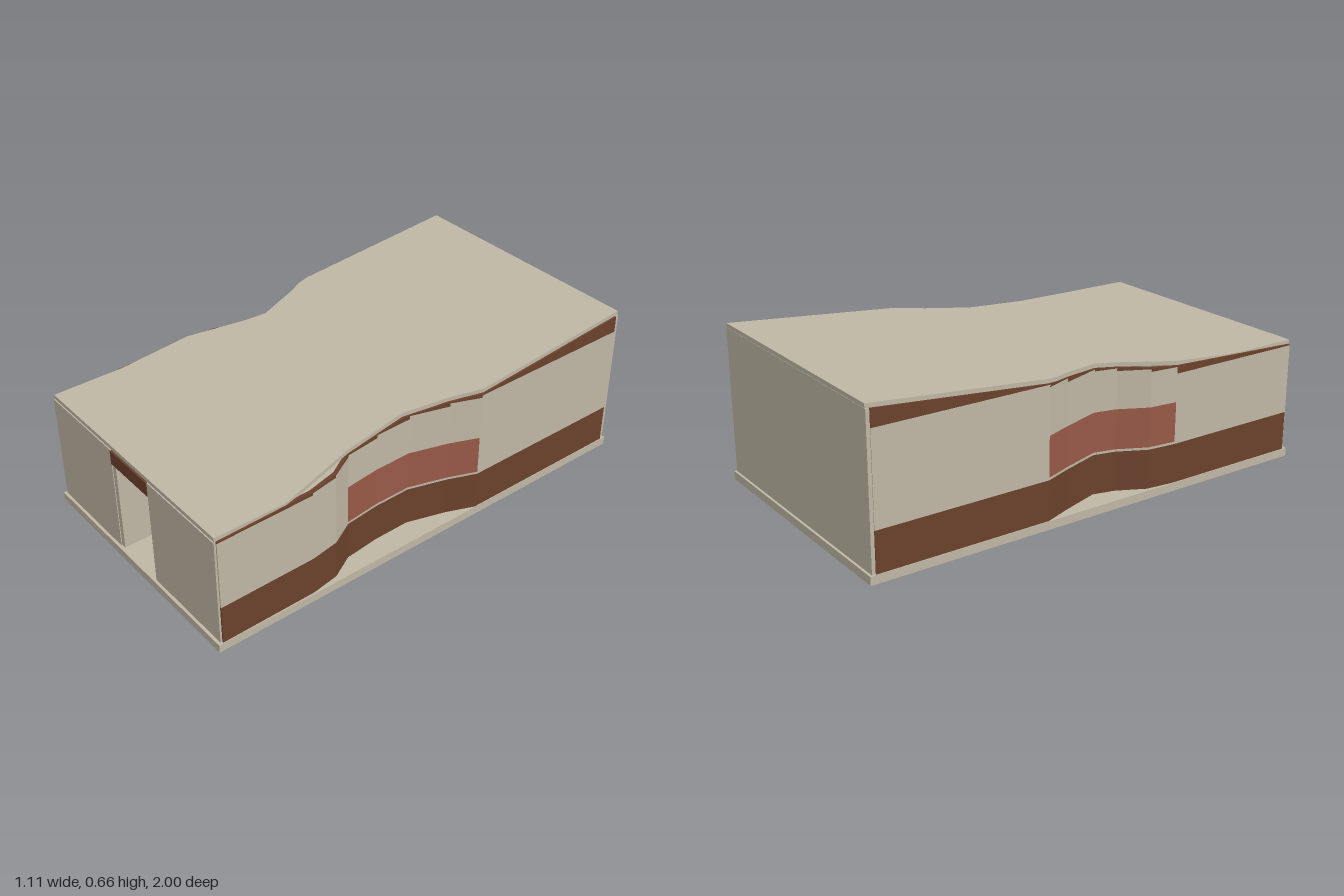
import * as THREE from 'three';

const cream = new THREE.MeshStandardMaterial({ color: 0xbfb7a4 });
cream.name = 'cream';
const brown = new THREE.MeshStandardMaterial({ color: 0x6b412c });
brown.name = 'brown';
const red = new THREE.MeshStandardMaterial({ color: 0x985948 });
red.name = 'brick red';

const FLOOR = 0.035, WALL = 0.016;

// Roof heights: level at the front, then rising to the back
const roofTop = z => 0.514 + Math.max(0, 0.68 - z) * 0.088;
const roofUnder = z => roofTop(z) - 0.017;

// Solid through rectangular sections [z, x0, x1, y0, y1], ordered by rising z
function loft(sections) {
  const pos = [];
  const quad = (a, b, c, d) => pos.push(...a, ...b, ...c, ...a, ...c, ...d);
  const rings = sections.map(([z, x0, x1, y0, y1]) =>
    [[x0, y0, z], [x1, y0, z], [x1, y1, z], [x0, y1, z]]);
  for (let k = 0; k + 1 < rings.length; k++) {
    for (let i = 0; i < 4; i++) {
      const j = (i + 1) % 4;
      quad(rings[k][i], rings[k][j], rings[k + 1][j], rings[k + 1][i]);
    }
  }
  const first = rings[0], last = rings[rings.length - 1];
  quad(first[3], first[2], first[1], first[0]);
  quad(...last);
  const geo = new THREE.BufferGeometry();
  geo.setAttribute('position', new THREE.Float32BufferAttribute(pos, 3));
  geo.computeVertexNormals();
  return geo;
}

function add(parent, name, geo, material) {
  const mesh = new THREE.Mesh(geo, material);
  mesh.name = name;
  parent.add(mesh);
  return mesh;
}

function box(parent, name, material, x0, x1, y0, y1, z0, z1) {
  const mesh = add(parent, name, new THREE.BoxGeometry(x1 - x0, y1 - y0, z1 - z0), material);
  mesh.position.set((x0 + x1) / 2, (y0 + y1) / 2, (z0 + z1) / 2);
}

// Linear lookup of x along a list of [z, x]
function along(path, z) {
  for (let i = 0; i + 1 < path.length; i++) {
    const [za, xa] = path[i], [zb, xb] = path[i + 1];
    if (z <= zb) return xa + (xb - xa) * (z - za) / (zb - za);
  }
  return path[path.length - 1][1];
}

// A pinched side wall in facets, each banded brown, cream, red, cream, brown
function sideWall(name, side, path, redFrom, redTo) {
  const wall = new THREE.Group();
  wall.name = name;
  for (let i = 0; i + 1 < path.length; i++) {
    const ends = [path[i], path[i + 1]];
    const creamTop = roofUnder(path[i + 1][0]) - 0.005;
    const band = (label, material, low, high) => add(wall, label, loft(ends.map(([z, x]) => {
      const outer = side * x, inner = side * (x - WALL);
      return [z, Math.min(outer, inner), Math.max(outer, inner), low, high(z)];
    })), material);
    band('lowerBand', brown, FLOOR, () => 0.2);
    if (path[i][0] >= redFrom && path[i + 1][0] <= redTo) {
      band('sill', cream, 0.2, () => 0.21);
      band('redPanel', red, 0.21, () => 0.375);
      band('upperPanel', cream, 0.375, () => creamTop);
    } else {
      band('panel', cream, 0.2, () => creamTop);
    }
    band('upperBand', brown, creamTop, roofUnder);
  }
  return wall;
}

export function createModel() {
  const model = new THREE.Group();
  model.name = 'pavilion';

  // Base slab
  box(model, 'baseSlab', cream, -0.556, 0.556, 0, FLOOR, -1, 1);

  // Side walls, listed as [z, distance from the centre line]
  model.add(sideWall('leftWall', 1, [
    [-0.975, 0.553], [-0.24, 0.553], [-0.12, 0.505], [0.04, 0.457], [0.2, 0.459],
    [0.35, 0.475], [0.45, 0.53], [0.57, 0.549], [0.98, 0.553]], -0.24, 0.35));
  model.add(sideWall('rightWall', -1, [
    [-0.975, 0.553], [-0.24, 0.553], [-0.13, 0.513], [0.04, 0.459],
    [0.13, 0.48], [0.25, 0.54], [0.37, 0.553], [0.98, 0.553]], -0.24, 0.37));

  // Back wall
  box(model, 'backWall', cream, -0.55, 0.55, FLOOR, roofUnder(-0.98), -0.99, -0.975);

  // Front wall around the doorway
  const front = new THREE.Group();
  front.name = 'frontWall';
  for (const s of [-1, 1]) {
    const a = s * 0.125, b = s * 0.547;
    box(front, 'frontPanel', cream, Math.min(a, b), Math.max(a, b), FLOOR, 0.494, 0.972, 0.988);
  }
  box(front, 'doorHeader', brown, -0.125, 0.125, 0.432, 0.492, 0.972, 0.99);
  model.add(front);

  // Door leaf standing open inwards
  box(model, 'openDoor', cream, -0.124, -0.102, FLOOR + 0.004, 0.431, 0.75, 0.985);

  // Sloping roof slab, pinched like the walls
  const leftEdge = [[-0.99, 0.545], [-0.25, 0.545], [-0.12, 0.495], [0.07, 0.445],
    [0.13, 0.45], [0.35, 0.47], [0.68, 0.545], [0.985, 0.545]];
  const rightEdge = [[-0.99, 0.545], [-0.25, 0.55], [-0.2, 0.54], [-0.13, 0.51], [0.04, 0.455],
    [0.13, 0.472], [0.37, 0.545], [0.985, 0.545]];
  const stations = [...new Set([...leftEdge, ...rightEdge].map(p => p[0]))].sort((a, b) => a - b);
  add(model, 'roof', loft(stations.map(z =>
    [z, -along(rightEdge, z), along(leftEdge, z), roofUnder(z), roofTop(z)])), cream);

  return model;
}
